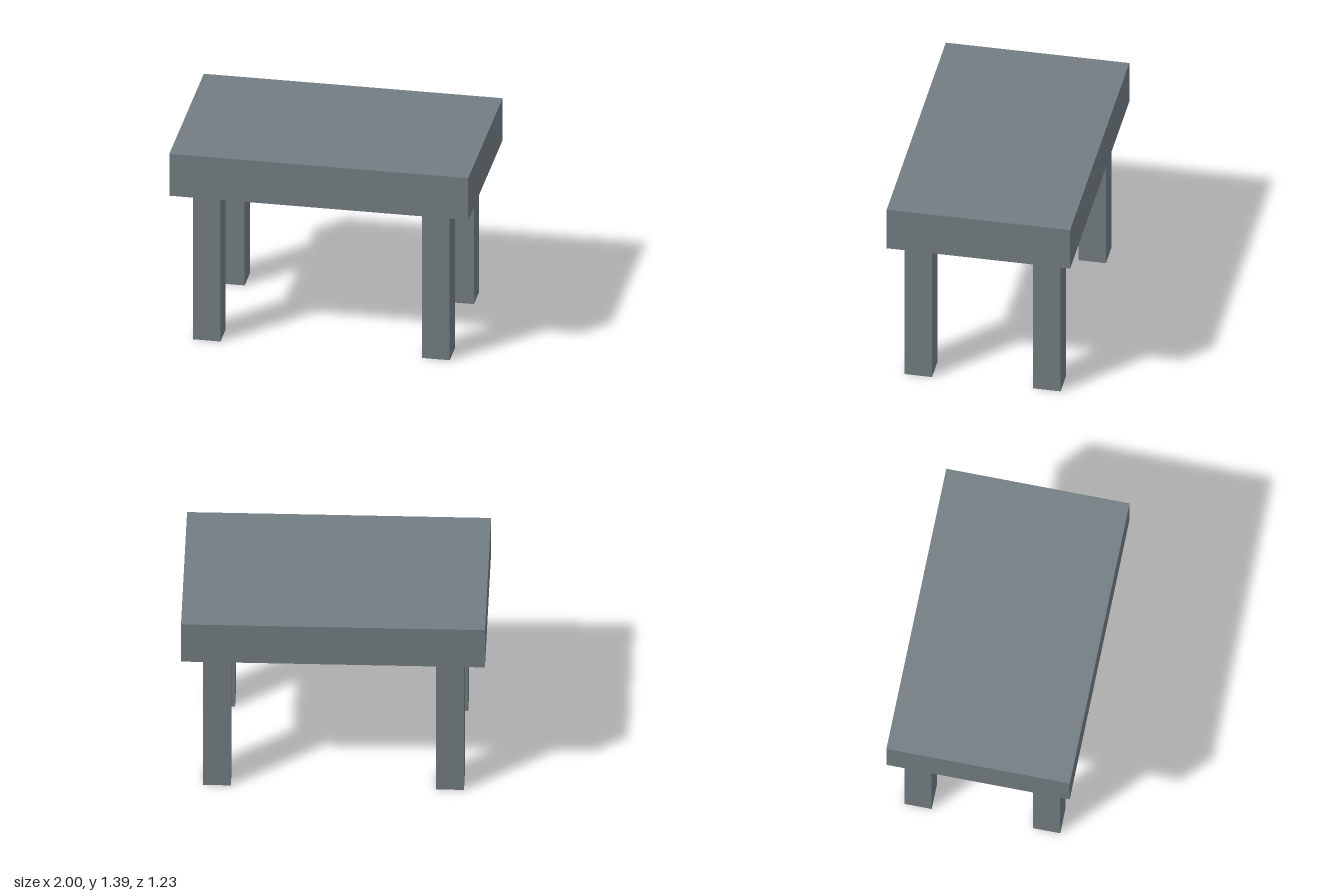
import * as THREE from 'three';

export function createModel() {
  const model = new THREE.Group();
  model.name = 'table';

  const slate = new THREE.MeshStandardMaterial({ color: 0x737d82 });
  slate.name = 'slate grey';

  const addBox = (name, size, position) => {
    const mesh = new THREE.Mesh(new THREE.BoxGeometry(...size), slate);
    mesh.name = name;
    mesh.position.set(...position);
    model.add(mesh);
  };

  const legHeight = 1.08;
  const legWidth = 0.184;
  const topThickness = 0.306;

  // Thick slab top
  addBox('tableTop', [2, topThickness, 1.23], [0, legHeight + topThickness / 2, 0]);

  // Four square legs, set in from the corners
  for (const [zName, z] of [['front', 0.431], ['back', -0.431]]) {
    for (const [xName, x] of [['Left', 0.767], ['Right', -0.767]]) {
      addBox(`${zName}${xName}Leg`, [legWidth, legHeight, legWidth], [x, legHeight / 2, z]);
    }
  }

  return model;
}
